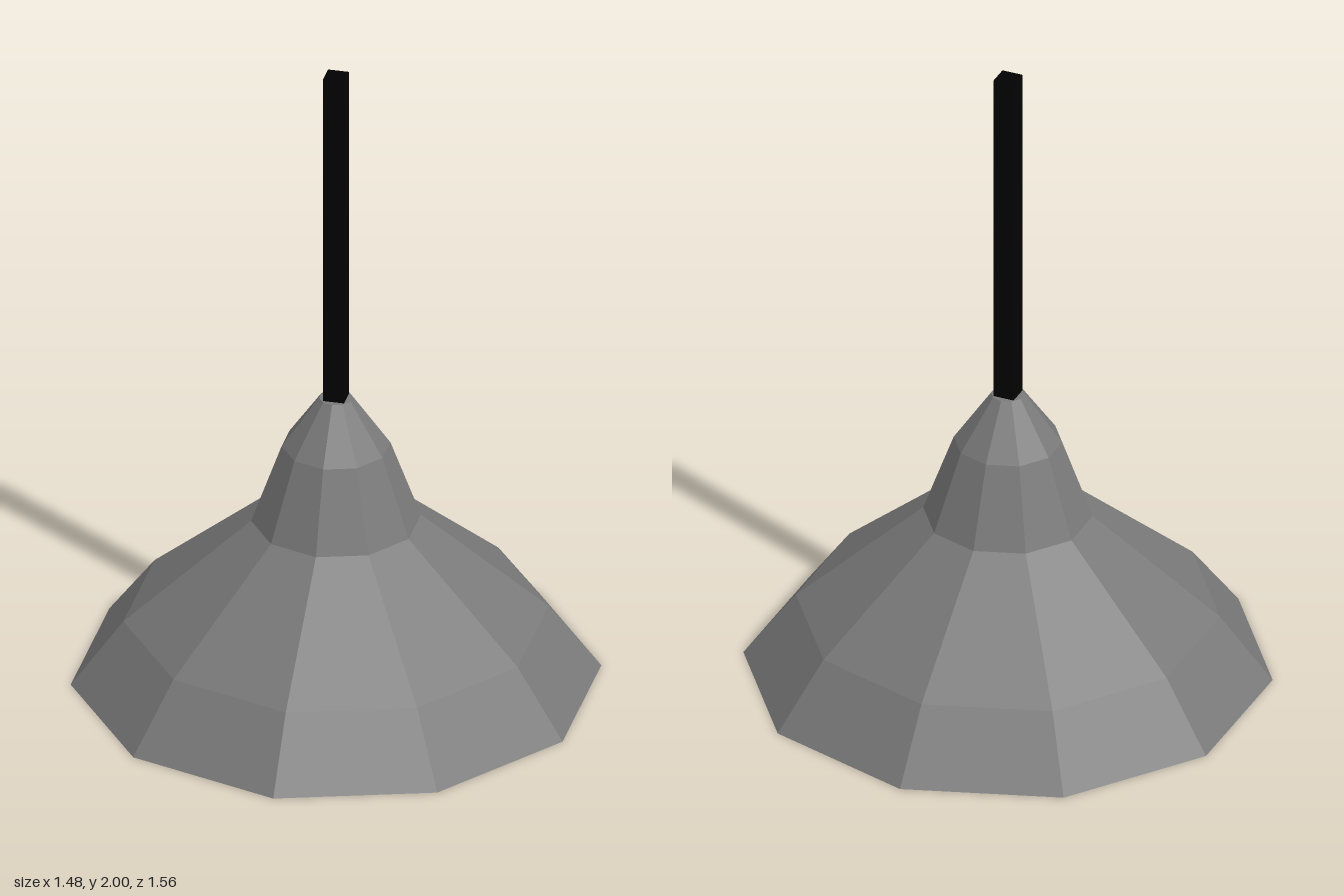
import * as THREE from 'three';

const SIDES = 10;

// Faceted solid of revolution; profile points are [radius, height]
function turned(name, profile, color) {
  const points = profile.map(([r, y]) => new THREE.Vector2(r, y));
  const geometry = new THREE.LatheGeometry(points, SIDES);
  const material = new THREE.MeshStandardMaterial({ color, flatShading: true, side: THREE.DoubleSide });
  const mesh = new THREE.Mesh(geometry, material);
  mesh.name = name;
  return mesh;
}

export function createModel() {
  const lamp = new THREE.Group();
  lamp.name = 'pendantLamp';

  // Shade: inner lining, flat rim, then the bell-shaped outside up to its cap
  lamp.add(turned('shade', [
    [0, 0.51], [0.21, 0.51], [0.695, 0],
    [0.78, 0], [0.625, 0.205], [0.25, 0.525], [0.16, 0.77], [0.05, 0.927], [0, 0.927],
  ], 0x7a7a7a));

  // Bulb: flat tip, widest at its shoulder, narrowing into the shade
  lamp.add(turned('bulb', [
    [0, 0.135], [0.05, 0.135], [0.133, 0.29], [0.1, 0.41], [0.07, 0.51],
  ], 0xe0e000));

  // Cord: square tube, open at the ends
  const cord = new THREE.Mesh(
    new THREE.CylinderGeometry(0.045, 0.045, 1.073, 4, 1, true, Math.PI / 4),
    new THREE.MeshStandardMaterial({ color: 0x020202, flatShading: true, side: THREE.DoubleSide }),
  );
  cord.name = 'cord';
  cord.position.y = 1.4635;
  lamp.add(cord);

  return lamp;
}
